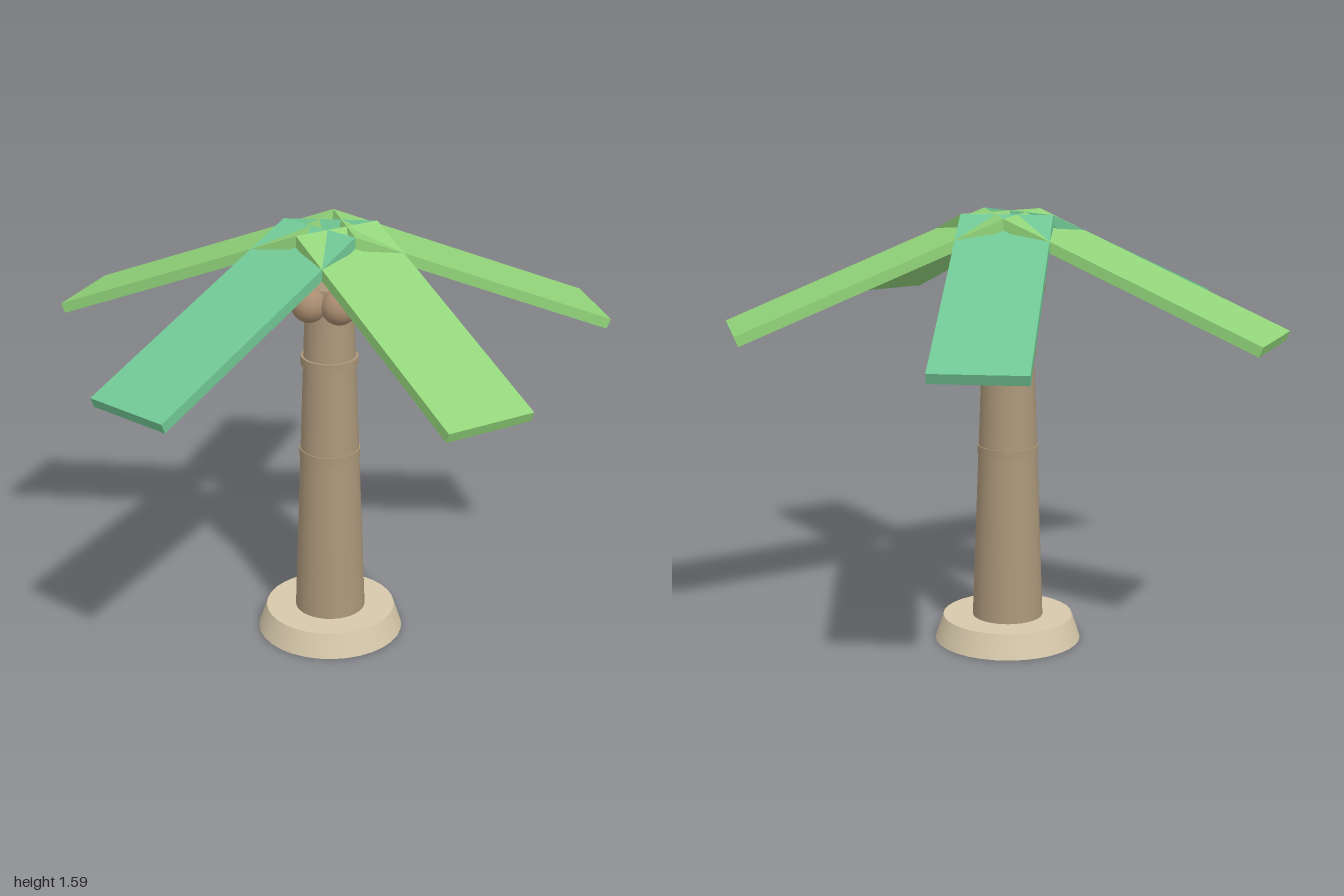
import * as THREE from 'three';

const material = (name, color) => {
  const m = new THREE.MeshStandardMaterial({ color });
  m.name = name;
  return m;
};

export function createModel() {
  const sand = material('sand', 0xd6c8aa);
  const bark = material('bark', 0xab977a);
  const shell = material('coconut brown', 0xa98c70);
  const green = material('leaf green', 0x92d47a);
  const teal = material('teal green', 0x70c694);

  const palm = new THREE.Group();
  palm.name = 'palmTree';
  palm.position.x = -0.05; // trunk axis; the fronds balance around it

  const add = (name, geometry, mat, x, y, z, parent = palm) => {
    const mesh = new THREE.Mesh(geometry, mat);
    mesh.name = name;
    mesh.position.set(x, y, z);
    parent.add(mesh);
    return mesh;
  };

  // base and tapered trunk
  add('base', new THREE.CylinderGeometry(0.24, 0.27, 0.09, 32), sand, 0, 0.045, 0);
  add('trunk', new THREE.CylinderGeometry(0.085, 0.13, 1.28, 32), bark, 0, 0.73, 0);

  // bark rings
  [[0.365, 0.1195], [0.725, 0.111], [1.085, 0.104]].forEach(([y, r]) =>
    add('trunkRing', new THREE.CylinderGeometry(r, r, 0.032, 32), bark, 0, y, 0));

  // coconuts under the crown
  [[0.09, -0.045], [0.012, 0.1], [-0.085, 0.05]].forEach(([x, z]) =>
    add('coconut', new THREE.SphereGeometry(0.065, 24, 16), shell, x, 1.318, z));

  // five drooping slab fronds
  const length = 1.02, thickness = 0.038, tilt = Math.atan2(0.38, 0.945);
  const slab = new THREE.BoxGeometry(length, thickness, 0.33);
  slab.translate(length / 2, -thickness / 2, 0);
  for (let i = 0; i < 5; i++) {
    const pivot = new THREE.Group();
    pivot.name = 'frondPivot';
    pivot.rotation.y = (i * Math.PI * 2) / 5;
    palm.add(pivot);
    const frond = add('frond', slab, i % 2 ? teal : green, 0.053, 1.59, 0, pivot);
    frond.rotation.z = -tilt;
  }

  const model = new THREE.Group();
  model.name = 'model';
  model.add(palm);
  return model;
}
